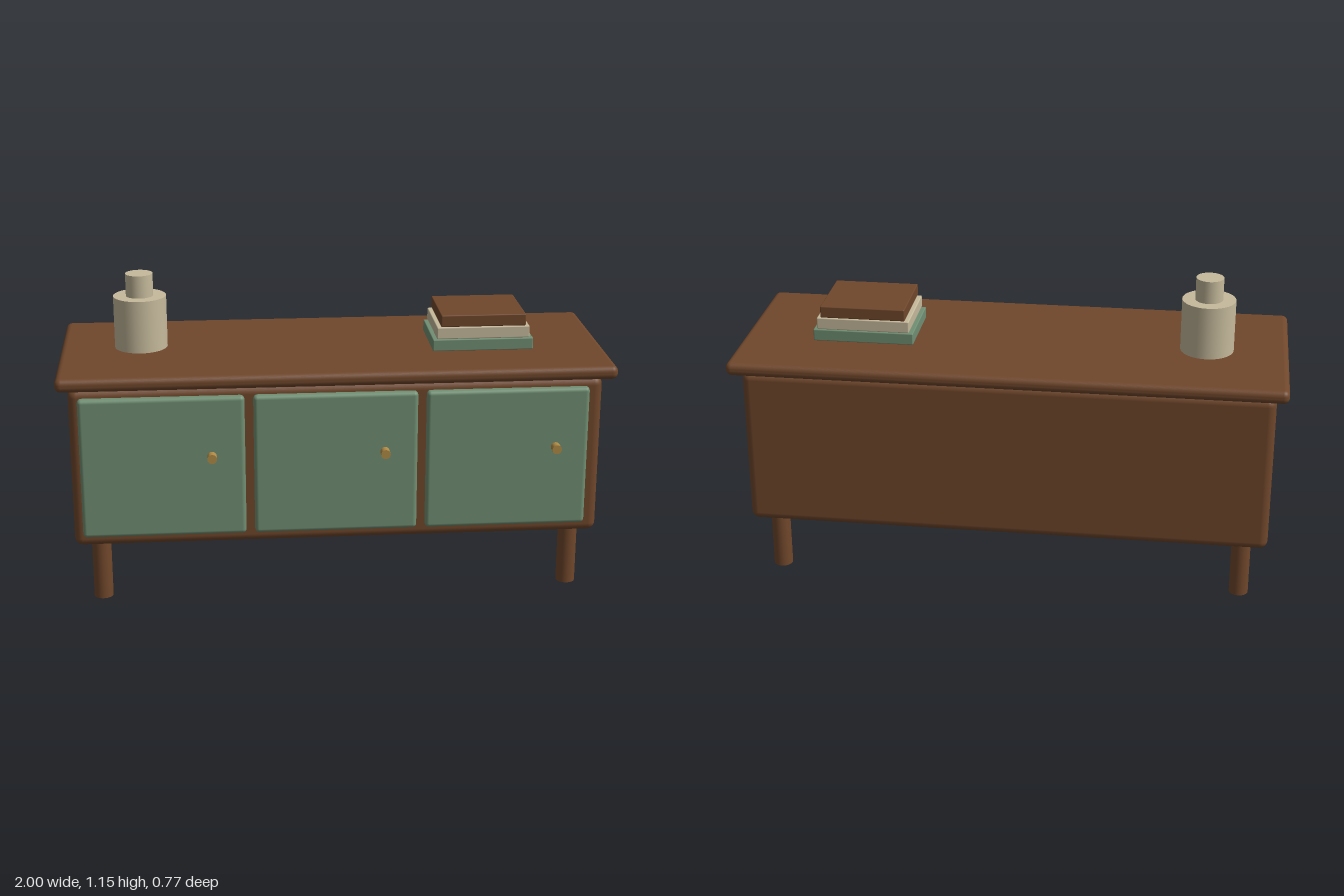
import * as THREE from 'three';
import { RoundedBoxGeometry } from 'three/addons/geometries/RoundedBoxGeometry.js';

const material = (name, color) => {
  const m = new THREE.MeshStandardMaterial({ color });
  m.name = name;
  return m;
};

export function createModel() {
  const model = new THREE.Group();
  model.name = 'sideboard';
  const walnut = material('walnut', 0x70472b);
  const sage = material('sage green', 0x708f73);
  const cream = material('cream', 0xc6ba9c);
  const brass = material('brass', 0xb08a45);

  const add = (name, geometry, mat, x, y, z) => {
    const mesh = new THREE.Mesh(geometry, mat);
    mesh.name = name;
    mesh.position.set(x, y, z);
    model.add(mesh);
    return mesh;
  };
  const box = (w, h, d, r) => new RoundedBoxGeometry(w, h, d, 4, r);
  const rod = (r, h) => new THREE.CylinderGeometry(r, r, h, 32);

  // Cabinet body and overhanging top
  add('cabinet', box(1.914, 0.596, 0.658, 0.03), walnut, -0.002, 0.517, -0.013);
  add('tabletop', box(2, 0.05, 0.742, 0.022), walnut, 0, 0.842, -0.014);

  // Three doors, each with a round knob
  for (let i = -1; i <= 1; i++) {
    const x = -0.012 + i * 0.619;
    add('door', box(0.588, 0.523, 0.036, 0.015), sage, x, 0.528, 0.334);
    add('knob', rod(0.017, 0.036), brass, x + 0.175, 0.569, 0.367).rotation.x = Math.PI / 2;
  }

  // Four legs
  for (const sx of [-1, 1])
    for (const sz of [-1, 1])
      add('leg', rod(0.035, 0.23), walnut, -0.002 + sx * 0.864, 0.115, -0.003 + sz * 0.258);

  // Stack of books, narrowing upwards
  [sage, cream, walnut].forEach((mat, i) =>
    add('book', box(0.37 - i * 0.029, 0.044, 0.277, 0.004), mat, 0.545, 0.894 + i * 0.0455, -0.004));

  // Vase with a narrow neck
  add('vaseBody', rod(0.097, 0.194), cream, -0.704, 0.966, -0.034);
  add('vaseNeck', rod(0.05, 0.084), cream, -0.704, 1.104, -0.034);

  return model;
}
